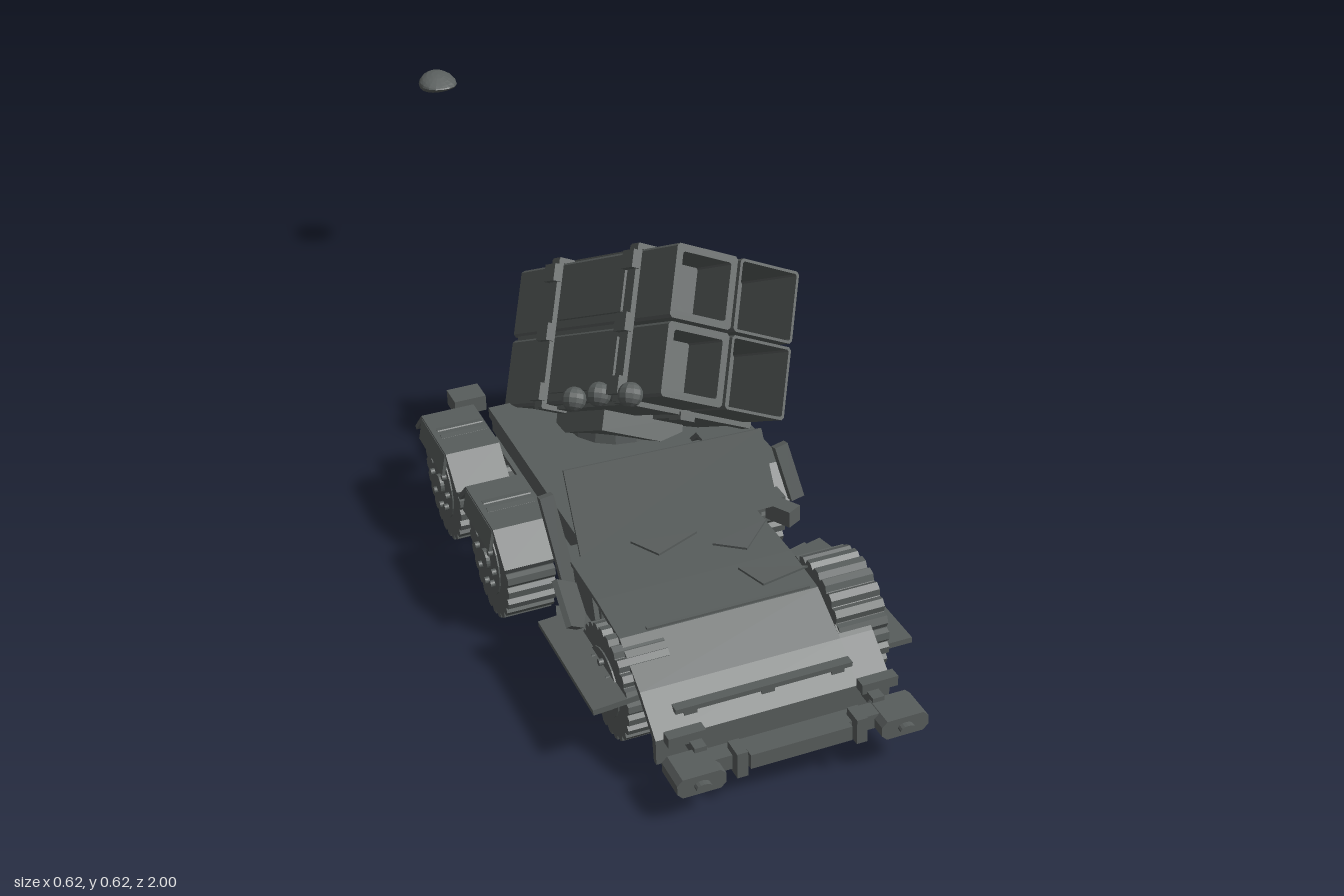
import * as THREE from 'three';

const paint = new THREE.MeshStandardMaterial({ color: 0x585d5c, flatShading: true, side: THREE.DoubleSide });
paint.name = 'dark grey paint';

function add(parent, name, geo, x = 0, y = 0, z = 0, rx = 0, ry = 0, rz = 0) {
  const m = new THREE.Mesh(geo, paint);
  m.name = name;
  m.position.set(x, y, z);
  m.rotation.set(rx, ry, rz);
  parent.add(m);
  return m;
}
const box = (w, h, d) => new THREE.BoxGeometry(w, h, d);

function group(parent, name) {
  const g = new THREE.Group();
  g.name = name;
  parent.add(g);
  return g;
}

// Side profile of [z, y] points, extruded across x and centred
function sideExtrude(points, width) {
  const s = new THREE.Shape(points.map(([z, y]) => new THREE.Vector2(z, y)));
  const g = new THREE.ExtrudeGeometry(s, { depth: width, bevelEnabled: false });
  return g.rotateY(-Math.PI / 2).translate(width / 2, 0, 0);
}

// Rectangle with chamfered corners
function chamferedRect(w, h, c, Type = THREE.Shape) {
  const a = w / 2, b = h / 2;
  return new Type([[-a + c, -b], [a - c, -b], [a, -b + c], [a, b - c],
    [a - c, b], [-a + c, b], [-a, b - c], [-a, -b + c]].map(p => new THREE.Vector2(...p)));
}

// Cleated tyre with a flat hub disc and a ring of bolts
function addWheel(parent, name, x, y, z, side) {
  const w = group(parent, name), n = 24, pts = [];
  w.position.set(x, y, z);
  for (let i = 0; i < n; i++) {
    for (const [f, r] of [[0, 0.098], [0.3, 0.106], [0.75, 0.106], [0.95, 0.098]]) {
      const a = (i + f) / n * Math.PI * 2;
      pts.push([Math.cos(a) * r, Math.sin(a) * r]);
    }
  }
  add(w, 'tyre', sideExtrude(pts, 0.085));
  const disc = (r, d) => new THREE.CylinderGeometry(r, r, d, 20).rotateZ(Math.PI / 2);
  add(w, 'wheel disc', disc(0.064, 0.09));
  add(w, 'hub', disc(0.018, 0.01), side * 0.047);
  for (let i = 0; i < 8; i++) {
    const a = i * Math.PI / 4;
    add(w, 'bolt', disc(0.006, 0.012), side * 0.047, Math.cos(a) * 0.045, Math.sin(a) * 0.045);
  }
  return w;
}

function addCanister(parent, x, y, recess, wall) {
  const w = 0.126, h = 0.128, len = 0.52;
  const c = group(parent, 'canister');
  c.position.set(x, y, -len / 2);
  add(c, 'canister body', new THREE.ExtrudeGeometry(chamferedRect(w, h, 0.005),
    { depth: len - recess, bevelEnabled: false }));
  const frame = chamferedRect(w, h, 0.005);
  frame.holes.push(chamferedRect(w - wall * 2, h - wall * 2, 0.003, THREE.Path));
  add(c, 'canister mouth', new THREE.ExtrudeGeometry(frame, { depth: recess, bevelEnabled: false }),
    0, 0, len - recess);
}

function buildLauncher(parent) {
  const g = group(parent, 'launcher');
  const fwd = new THREE.Vector3(0.24, 0.45, 0.86).normalize();
  const right = new THREE.Vector3(0.917, -0.395, -0.05);
  const up = fwd.clone().cross(right).normalize();
  right.copy(up).cross(fwd);
  g.quaternion.setFromRotationMatrix(new THREE.Matrix4().makeBasis(right, up, fwd));
  g.position.set(0.084, 0.345, 0.13);

  for (const sy of [-1, 1]) {
    addCanister(g, -0.066, sy * 0.067, 0.1, 0.013);
    addCanister(g, 0.066, sy * 0.067, 0.16, 0.005);
  }
  add(g, 'core spacer', box(0.02, 0.25, 0.34), 0, 0, -0.08);
  add(g, 'core shelf', box(0.25, 0.02, 0.34), 0, 0, -0.08);

  // Straps with corner lugs
  for (const z of [-0.12, 0.14]) {
    for (const s of [-1, 1]) {
      add(g, 'strap', box(0.275, 0.01, 0.025), 0, s * 0.135, z);
      add(g, 'strap side', box(0.01, 0.275, 0.025), s * 0.134, 0, z);
      for (const t of [-1, 0, 1]) {
        add(g, 'side lug', box(0.016, 0.032, 0.035), s * 0.142, t * 0.11, z);
      }
      add(g, 'strap lug', box(0.03, 0.014, 0.035), 0, s * 0.142, z);
    }
  }
  // Raised panels between the straps
  for (const s of [-1, 1]) for (const t of [-1, 1]) {
    add(g, 'top panel', box(0.095, 0.01, 0.21), s * 0.066, t * 0.133, 0.01);
    add(g, 'side panel', box(0.01, 0.09, 0.21), s * 0.131, t * 0.067, 0.01);
  }
  // Couplings on the lower right side
  for (const [y, z] of [[-0.13, 0.2], [-0.125, 0.1], [-0.13, 0.02]]) {
    add(g, 'coupling', new THREE.SphereGeometry(0.022, 10, 8), -0.15, y, z);
  }
  add(g, 'mounting foot', box(0.17, 0.05, 0.16), 0, -0.15, -0.06);
}

function buildChassis(g) {
  // Ladder frame and bed
  add(g, 'bed', box(0.37, 0.02, 0.5), 0.02, 0.175, 0.24);
  add(g, 'bed floor', box(0.28, 0.03, 0.5), -0.02, 0.15, 0.24);
  for (const x of [-0.14, -0.01, 0.11]) add(g, 'frame rail', box(0.022, 0.045, 0.9), x, 0.1, 0.43);
  for (let i = 0; i < 7; i++) add(g, 'cross beam', box(0.3, 0.025, 0.025), -0.015, 0.09, -0.01 + i * 0.14);
  add(g, 'frame floor', box(0.3, 0.008, 0.88), -0.015, 0.122, 0.44);
  for (const z of [0.088, 0.35, 0.735]) {
    add(g, 'axle', new THREE.CylinderGeometry(0.014, 0.014, 0.34, 10).rotateZ(Math.PI / 2), -0.01, 0.1, z);
  }
  add(g, 'side box', box(0.04, 0.05, 0.06), -0.18, 0.09, 0.215);
  add(g, 'turntable', new THREE.CylinderGeometry(0.09, 0.1, 0.05, 16), 0.04, 0.2, 0.12);

  // Wheels, with folded guards over the rear four
  const arch = [[-0.126, 0.165], [-0.12, 0.16], [-0.07, 0.206], [0.07, 0.206], [0.12, 0.16],
    [0.126, 0.165], [0.074, 0.214], [-0.074, 0.214]];
  for (const z of [0.088, 0.35]) {
    for (const [x, s] of [[-0.247, -1], [0.178, 1]]) {
      addWheel(g, 'rear wheel', x, 0.11, z, s);
      add(g, 'rear mudguard', sideExtrude(arch, 0.1), x + s * 0.003, 0, z);
      add(g, 'mudguard lip', box(0.006, 0.04, 0.14), x + s * 0.055, 0.19, z, 0, 0, s * 0.2);
    }
  }
  add(g, 'mud flap', box(0.1, 0.1, 0.008), 0.18, 0.15, -0.055, 0.35);
  add(g, 'tail bracket', box(0.06, 0.03, 0.05), -0.2, 0.2, -0.03);
  addWheel(g, 'front wheel', 0.178, 0.11, 0.735, 1);
  addWheel(g, 'sunken front wheel', -0.182, 0.098, 0.735, -1).scale.set(1, 0.88, 0.95);
}

function buildCab(g) {
  // Bent sheet hood, open below, with a nose piece ahead of the left wheel
  const hood = [[0.5, 0.2], [0.66, 0.2], [0.76, 0.192], [0.84, 0.145], [0.9, 0.095], [0.9, 0.05],
    [0.89, 0.05], [0.885, 0.092], [0.83, 0.138], [0.755, 0.184], [0.66, 0.192], [0.5, 0.192]];
  const nose = [[0.82, 0.158], [0.84, 0.145], [0.9, 0.095], [0.9, 0.05],
    [0.89, 0.05], [0.885, 0.092], [0.82, 0.148]];
  add(g, 'hood', sideExtrude(hood, 0.34), -0.037);
  add(g, 'hood nose', sideExtrude(nose, 0.057), 0.1615);
  add(g, 'hood seam', box(0.28, 0.004, 0.006), -0.02, 0.194, 0.755);
  add(g, 'cab rear wall', box(0.34, 0.1, 0.012), -0.02, 0.145, 0.505);
  for (const x of [-0.2, 0.125]) {
    add(g, 'cab side', sideExtrude([[0.5, 0.09], [0.5, 0.195], [0.63, 0.19], [0.66, 0.09]], 0.008), x);
  }

  // Loose windshield sheet
  const pane = new THREE.Shape([[-0.188, 0.2], [0.168, 0.205], [0.155, 0.343], [-0.196, 0.35]]
    .map(p => new THREE.Vector2(p[0], p[1] - 0.2)));
  add(g, 'windshield', new THREE.ExtrudeGeometry(pane, { depth: 0.005, bevelEnabled: false }), 0, 0.2, 0.535, -0.28);

  // Bent door frames
  add(g, 'door frame', box(0.024, 0.16, 0.016), -0.222, 0.235, 0.525, -0.25, 0, 0.12);
  add(g, 'door frame', box(0.024, 0.1, 0.016), 0.192, 0.26, 0.525, -0.25, 0, 0.2);
  for (const s of [-1, 1]) {
    add(g, 'door hinge', box(0.03, 0.03, 0.05), s * 0.19, 0.17, 0.51, 0, s * 0.5, 0);
    add(g, 'step', box(0.07, 0.012, 0.07), s * 0.205, 0.095, 0.56, 0, s * 0.3, 0);
  }

  // Crumpled front wings
  add(g, 'right wing', box(0.085, 0.01, 0.25), -0.238, 0.125, 0.705, 0, 0, 0.08);
  add(g, 'right wing lip', box(0.09, 0.01, 0.08), -0.225, 0.155, 0.6, 0.7, 0, -0.9);
  add(g, 'left wing', box(0.05, 0.01, 0.25), 0.242, 0.095, 0.705);
  add(g, 'left wing tip', box(0.08, 0.014, 0.05), 0.22, 0.098, 0.555, 0, 0.2, 0.05);

  // Torn sheet scraps on the hood
  const scrap = new THREE.Shape([[0, 0], [0.11, 0.02], [0.03, 0.05]].map(p => new THREE.Vector2(...p)));
  const scrapGeo = new THREE.ExtrudeGeometry(scrap, { depth: 0.004, bevelEnabled: false }).rotateX(Math.PI / 2);
  for (const [x, z, r] of [[-0.1, 0.54, 0], [0.02, 0.6, 0.4], [0.03, 0.68, -0.2]]) {
    add(g, 'torn scrap', scrapGeo, x, 0.208, z, 0.06, r, 0.03);
  }
}

function buildBumper(g) {
  add(g, 'bumper bar', box(0.38, 0.026, 0.03), 0, 0.073, 0.95);
  add(g, 'bumper plate', box(0.17, 0.026, 0.016), 0, 0.075, 0.971);
  for (const s of [-1, 1]) {
    add(g, 'bumper bracket', box(0.018, 0.045, 0.035), s * 0.1, 0.077, 0.965);
    add(g, 'bumper arm', box(0.02, 0.02, 0.06), s * 0.15, 0.085, 0.91);
    const end = new THREE.ExtrudeGeometry(chamferedRect(0.08, 0.034, 0.009), { depth: 0.06, bevelEnabled: false });
    add(g, 'bumper end', end, s * 0.17, 0.07, 0.93);
    const lamp = add(g, 'lamp', new THREE.CylinderGeometry(0.013, 0.013, 0.01, 14).rotateX(Math.PI / 2), s * 0.17, 0.07, 0.995);
    lamp.scale.y = 0.55;
    add(g, 'upper marker', box(0.062, 0.018, 0.02), s * 0.163, 0.1, 0.91);
  }
}

// Round fragment lying off behind the truck, tapering to a thin front edge
function buildFragment(parent) {
  const r = 0.042, geo = new THREE.SphereGeometry(r, 16, 10);
  const p = geo.attributes.position;
  for (let i = 0; i < p.count; i++) {
    p.setY(i, p.getY(i) * (0.5 - 0.35 * p.getZ(i) / r));
  }
  geo.computeVertexNormals();
  add(parent, 'loose fragment', geo, 0.03, 0.462, -0.958);
}

export function createModel() {
  const model = new THREE.Group();
  model.name = 'wreckedLauncherTruck';
  const truck = group(model, 'truck');
  truck.rotation.z = 0.047;
  truck.position.y = 0.009;
  buildChassis(truck);
  buildCab(truck);
  buildBumper(truck);
  buildLauncher(model);
  buildFragment(model);
  return model;
}
